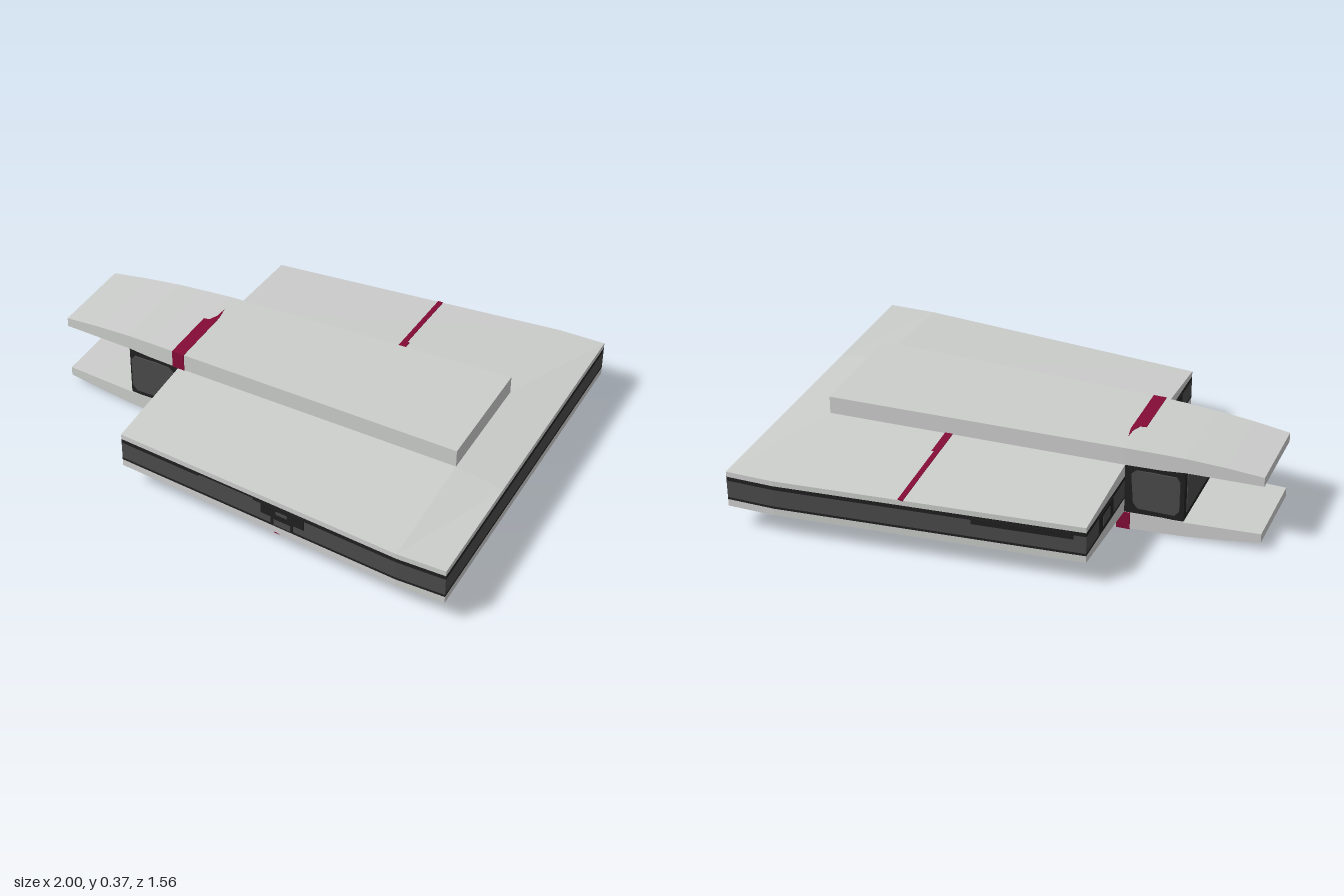
import * as THREE from 'three';

const mat = (name, color) => Object.assign(new THREE.MeshStandardMaterial({ color, flatShading: true }), { name });

// Closed flat-shaded solid through rings along x; each section is [x, [[z, y], ...]]
function loft(sections) {
  const pos = [];
  const tri = (...ps) => ps.forEach(p => pos.push(...p));
  const rings = sections.map(([x, ring]) => ring.map(([z, y]) => [x, y, z]));
  const n = rings[0].length;
  for (let s = 0; s < rings.length - 1; s++) {
    for (let i = 0; i < n; i++) {
      const j = (i + 1) % n, a = rings[s], b = rings[s + 1];
      tri(a[i], b[i], b[j]);
      tri(a[i], b[j], a[j]);
    }
  }
  const last = rings[rings.length - 1];
  for (let i = 1; i < n - 1; i++) {
    tri(rings[0][0], rings[0][i], rings[0][i + 1]);
    tri(last[0], last[i + 1], last[i]);
  }
  const g = new THREE.BufferGeometry();
  g.setAttribute('position', new THREE.Float32BufferAttribute(pos, 3));
  g.computeVertexNormals();
  return g;
}

const box = (z0, z1, y0, y1) => [[z1, y0], [z1, y1], [z0, y1], [z0, y0]];
const shapeOf = pts => new THREE.Shape(pts.map(p => new THREE.Vector2(...p)));

// Horizontal slab from an outline of [x, z] points
function slab(pts, y0, y1) {
  const g = new THREE.ExtrudeGeometry(shapeOf(pts.map(([x, z]) => [x, -z])), { depth: y1 - y0, bevelEnabled: false });
  return g.rotateX(-Math.PI / 2).translate(0, y0, 0);
}

// Half widths of the hull and of the spine plates
const hullWidth = x => Math.min(0.78, 0.66 + (x + 0.45) * 0.096);
const plateWidth = x => (x < -0.45 ? 0.185 + (x + 1) * 0.0636 : 0.22 + (x + 0.45) * 0.032);
const MID = 0.1825;

export function createModel() {
  const light = mat('paleHull', 0xcccecc);
  const grey = mat('darkGrey', 0x4a4a4a);
  const black = mat('nearBlack', 0x202020);
  const red = mat('crimson', 0x840c36);

  const model = new THREE.Group();
  model.name = 'ship';
  const body = new THREE.Group();
  body.name = 'body';
  body.position.y = MID;
  model.add(body);
  const add = (parent, name, geometry, material) => {
    const m = new THREE.Mesh(geometry, material);
    m.name = name;
    parent.add(m);
    return m;
  };

  // Layered core of the hull
  const outline = [[-0.45, 0.66], [0.8, 0.78], [1, 0.78], [1, -0.78], [0.8, -0.78], [-0.45, -0.66]];
  [['lowerTrim', -0.0475, -0.0375, black], ['sideBand', -0.0375, 0.0375, grey], ['upperTrim', 0.0375, 0.055, black]]
    .forEach(([name, y0, y1, m]) => add(body, name, slab(outline, y0, y1), m));

  // Armour halves: the lower one is the upper one turned about the long axis
  for (const turn of [0, Math.PI]) {
    const half = new THREE.Group();
    half.name = turn ? 'lowerHalf' : 'upperHalf';
    half.rotation.x = turn;
    body.add(half);

    add(half, 'hullRim', slab(outline, turn ? 0.0475 : 0.055, 0.0775), light);
    const roof = (x, top) => {
      const w = hullWidth(x), c = plateWidth(x);
      return [x, [[w, 0.0775], [c, top], [-c, top], [-w, 0.0775]]];
    };
    add(half, 'hullRoof', loft([roof(-0.45, 0.1075), roof(0.8, 0.1075), roof(1, 0.0776)]), light);

    // Long spine plate with a tapering prong
    const spine = [[-1, 0.1075, 0.147], [-0.85, 0.11, 0.164], [-0.69, 0.1125, 0.176], [-0.6, 0.1075, 0.179],
      [-0.45, 0.1075, 0.1825], [0.8, 0.1075, 0.1825]];
    add(half, 'spinePlate', loft(spine.map(([x, y0, y1]) => {
      const w = plateWidth(x);
      return [x, box(-w, w, y0, y1)];
    })), light);

    // Crimson markings
    add(half, 'spineStripeTop', slab([[-0.475, 0.221], [-0.42, 0.221], [-0.42, -0.07], [-0.431, -0.13],
      [-0.434, -0.08], [-0.45, -0.04], [-0.475, -0.035]], 0.1795, 0.184), red);
    add(half, 'spineStripeSide', loft([-0.475, -0.42].map(x =>
      [x, box(plateWidth(x) - 0.004, plateWidth(x) + 0.003, 0.1075, 0.183)])), red);
    const stripe = (x0, x1, z0, z1) => {
      const y = z => 0.0775 + 0.03 * (0.73 + z) / 0.487;
      const ring = [[z1, y(z1) - 0.002], [z1, y(z1) + 0.003], [z0, y(z0) + 0.003], [z0, y(z0) - 0.002]];
      return loft([[x0, ring], [x1, ring]]);
    };
    add(half, 'hullStripe', stripe(0.268, 0.29, -0.73, -0.243), red);
    add(half, 'hullStripeFlare', stripe(0.29, 0.3, -0.38, -0.243), red);
  }

  // Neck between the two prongs
  add(body, 'neck', loft([-0.69, -0.44].map(x =>
    [x, box(-plateWidth(x) + 0.002, plateWidth(x) - 0.002, -0.11, 0.11)])), black);
  const panel = shapeOf([[-0.675, -0.06], [-0.655, -0.083], [-0.505, -0.083], [-0.485, -0.06],
    [-0.475, 0.07], [-0.495, 0.09], [-0.66, 0.09], [-0.675, 0.07]]);
  for (const side of [1, -1]) {
    const g = new THREE.ExtrudeGeometry(panel, { depth: 0.006, bevelEnabled: false });
    add(body, 'neckPanel', g.translate(0, 0, side > 0 ? 0.211 : -0.217), grey);
  }
  add(body, 'neckEndPanel', new THREE.BoxGeometry(0.006, 0.17, 0.34).translate(-0.69, 0, 0), grey);

  // Thin plates on the slanted hull sides
  const sidePlate = (name, side, x0, x1, y0, y1, m, lift = 0.002) =>
    add(body, name, loft([x0, x1].map(x => {
      const w = hullWidth(x);
      return [x, side > 0 ? box(w - 0.004, w + lift, y0, y1) : box(-w - lift, -w + 0.004, y0, y1)];
    })), m);
  sidePlate('hatch', 1, 0.205, 0.4, -0.005, 0.05, black);
  sidePlate('hatchLower', 1, 0.25, 0.35, -0.042, 0, black);
  sidePlate('hatchSlot', 1, 0.275, 0.325, 0.016, 0.03, grey, 0.004);
  sidePlate('hatchDoor', 1, 0.265, 0.34, -0.0375, -0.012, grey, 0.004);
  sidePlate('trimNotch', 1, -0.08, 0.17, 0.0375, 0.045, grey);
  sidePlate('trimPatch', -1, -0.4, 0, 0.02, 0.045, black);

  // Dark ports on the rear wall beside the neck
  for (const side of [1, -1]) {
    add(body, 'rearPort', new THREE.BoxGeometry(0.006, 0.085, 0.16).translate(-0.45, 0.002, side * 0.44), black);
    add(body, 'rearPortCore', new THREE.BoxGeometry(0.009, 0.045, 0.08).translate(-0.45, 0.002, side * 0.44), grey);
  }
  return model;
}
